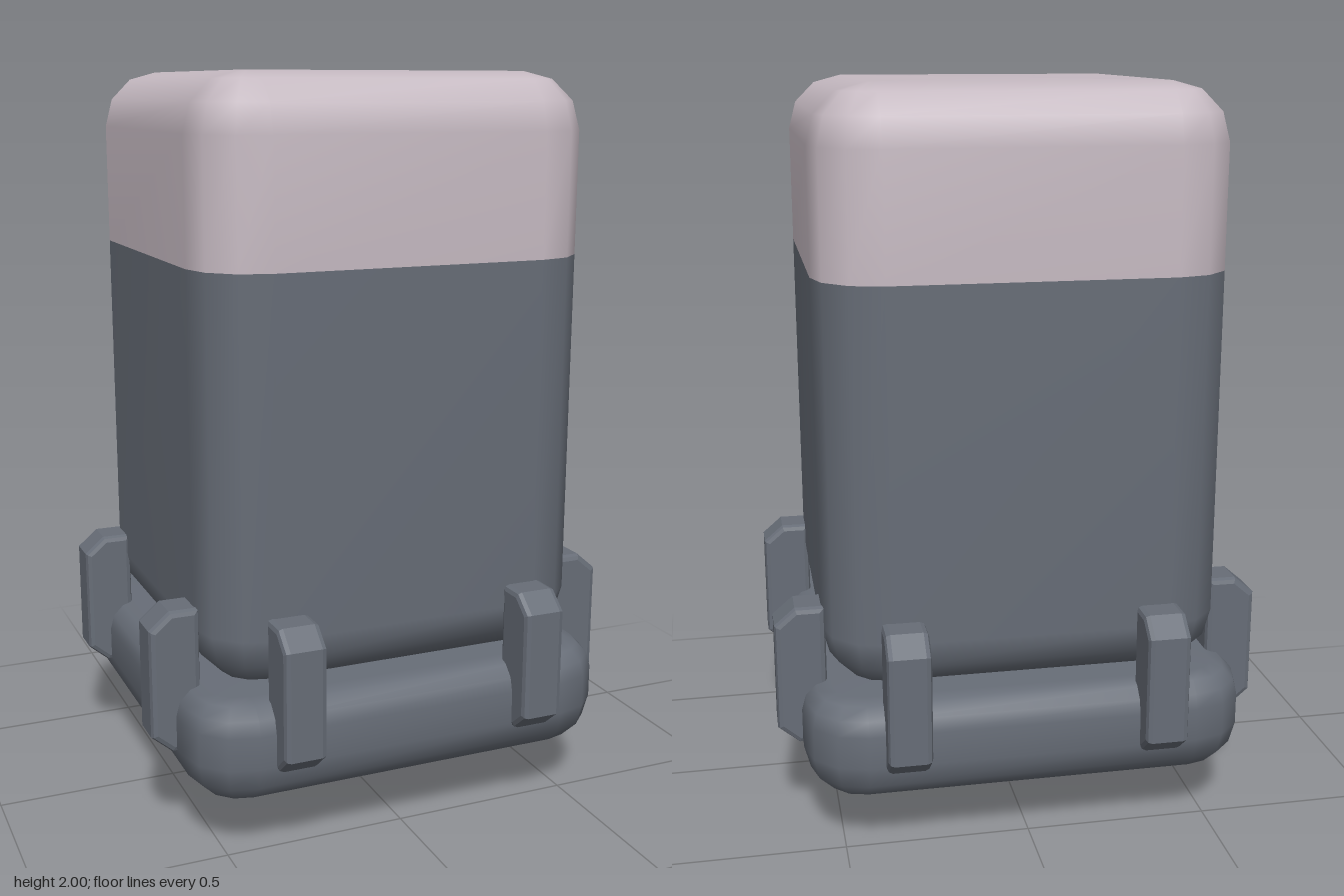
import * as THREE from 'three';
import { mergeVertices } from 'three/addons/utils/BufferGeometryUtils.js';

const STEPS = 3; // facets per rounded corner

// Rows [inset, y] of a rounded edge, from the flat end to the upright side.
function edgeRows(y, r, dir) {
  const rows = [];
  for (let i = 0; i <= STEPS; i++) {
    const a = (i / STEPS) * Math.PI / 2;
    rows.push([r * (1 - Math.sin(a)), y + dir * r * (1 - Math.cos(a))]);
  }
  return rows;
}

// Stacks rounded-square cross-sections from bottom to top, with optional caps.
function loft(half, radius, rows, capBottom, capTop) {
  const pos = [], index = [], n = 4 * (STEPS + 1);
  for (const [inset, y] of rows) {
    const r = Math.max(radius - inset, 0.012), c = half - inset - r;
    for (let k = 0; k < 4; k++) {
      const sx = k === 0 || k === 3 ? 1 : -1, sz = k < 2 ? 1 : -1;
      for (let i = 0; i <= STEPS; i++) {
        const a = (k + i / STEPS) * Math.PI / 2;
        pos.push(sx * c + r * Math.cos(a), y, sz * c + r * Math.sin(a));
      }
    }
  }
  for (let j = 0; j < rows.length - 1; j++) {
    for (let i = 0; i < n; i++) {
      const a = j * n + i, b = j * n + (i + 1) % n;
      index.push(a, a + n, b, b, a + n, b + n);
    }
  }
  const cap = (row, up) => {
    const c = pos.length / 3, s = row * n;
    pos.push(0, rows[row][1], 0);
    for (let i = 0; i < n; i++) {
      const a = s + i, b = s + (i + 1) % n;
      if (up) index.push(c, b, a);
      else index.push(c, a, b);
    }
  };
  if (capBottom) cap(0, false);
  if (capTop) cap(rows.length - 1, true);
  const g = new THREE.BufferGeometry();
  g.setAttribute('position', new THREE.Float32BufferAttribute(pos, 3));
  g.setIndex(index);
  g.computeVertexNormals();
  return g;
}

// Extrudes an outline with a small bevel; the outline includes the bevel.
function bevelled(points, depth, bevel) {
  const shape = new THREE.Shape(points.map(([x, y]) => new THREE.Vector2(x, y)));
  const g = new THREE.ExtrudeGeometry(shape, {
    depth: depth - 2 * bevel, bevelEnabled: true, bevelThickness: bevel,
    bevelSize: bevel, bevelOffset: -bevel, bevelSegments: 2
  });
  g.translate(0, 0, bevel - depth / 2);
  return g;
}

export function createModel() {
  const model = new THREE.Group();
  const grey = new THREE.MeshStandardMaterial({ name: 'slate grey', color: 0x676d77 });
  const pink = new THREE.MeshStandardMaterial({ name: 'pale pink', color: 0xc6bac2 });
  const blue = new THREE.MeshStandardMaterial({ name: 'blue', color: 0x4c69c4 });
  const add = (name, geometry, material, parent = model) => {
    const mesh = new THREE.Mesh(geometry, material);
    mesh.name = name;
    parent.add(mesh);
    return mesh;
  };

  // Container: grey lower body and pink upper part meeting at a flat seam
  const seam = [0, 1.525];
  add('body', loft(0.54, 0.17, [...edgeRows(0.44, 0.15, 1), seam], true, false), grey);
  add('lid', loft(0.54, 0.17, [seam, ...edgeRows(2, 0.15, -1).reverse()], false, true), pink);

  // Square tray under the body
  const trayRows = [...edgeRows(0.157, 0.12, 1), ...edgeRows(0.445, 0.08, -1).reverse()];
  add('tray', loft(0.6, 0.16, trayRows, true, true), grey);

  // Round foot with a softened lower rim
  const foot = [[0, 0.08], [0.37, 0.08], [0.37, 0.08], [0.392, 0.09], [0.4, 0.11], [0.4, 0.18]];
  add('foot', new THREE.LatheGeometry(foot.map(([r, y]) => new THREE.Vector2(r, y)), 12), grey);

  // Two clips on each side of the tray
  const clipShape = bevelled([
    [0.53, 0.265], [0.61, 0.265], [0.665, 0.312], [0.665, 0.605], [0.61, 0.652], [0.53, 0.652]
  ], 0.115, 0.015);
  clipShape.rotateY(-Math.PI / 2);
  for (let side = 0; side < 4; side++) {
    const clips = new THREE.Group();
    clips.name = 'clipPair' + (side + 1);
    clips.rotation.y = side * Math.PI / 2;
    for (const x of [-0.34, 0.34]) add('clip', clipShape, grey, clips).position.x = x;
    model.add(clips);
  }

  // Cross-shaped key at the bottom, with clipped arm ends
  const cross = [], w = 0.06, l = 0.2, c = 0.03;
  for (let k = 0; k < 4; k++) {
    const cs = Math.round(Math.cos(k * Math.PI / 2)), sn = Math.round(Math.sin(k * Math.PI / 2));
    for (const [x, y] of [[w, -w], [l - c, -w], [l, -w + c], [l, w - c], [l - c, w]]) {
      cross.push([x * cs - y * sn, x * sn + y * cs]);
    }
  }
  const key = bevelled(cross, 0.1, 0.012);
  key.rotateX(Math.PI / 2);
  key.translate(0, 0.05, 0);
  add('crossKey', mergeVertices(key), blue);

  return model;
}
